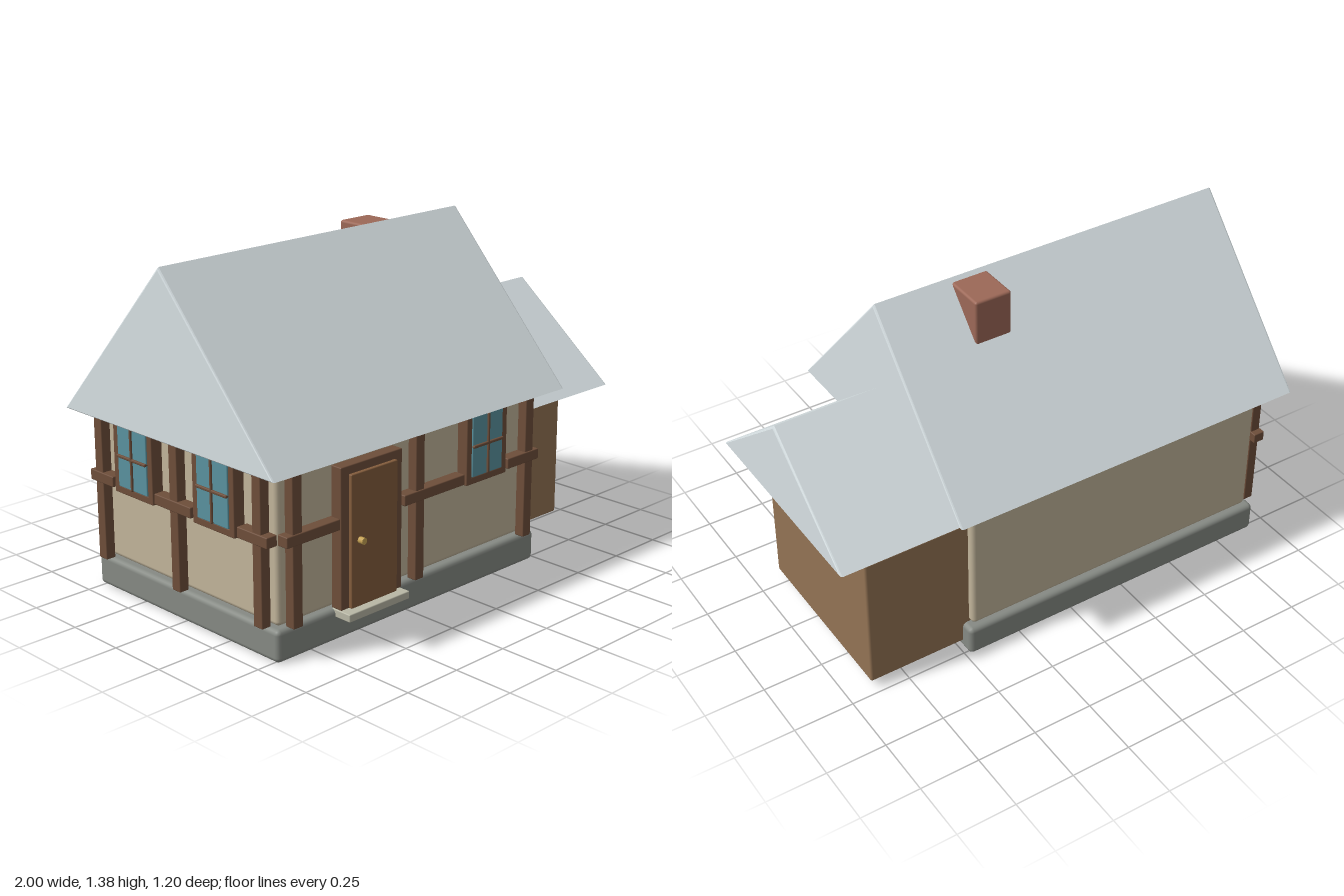
import * as THREE from 'three';
import { RoundedBoxGeometry } from 'three/addons/geometries/RoundedBoxGeometry.js';

const mat = (color) => new THREE.MeshStandardMaterial({ color });
const M = {
  stone: mat(0x868a84), plaster: mat(0xc2b59b), timber: mat(0x6e4e3a), door: mat(0x835c3c),
  annex: mat(0x937354), roof: mat(0xd8e1e4), brick: mat(0x9c6857), glass: mat(0x5a93a0),
  step: mat(0xb9b8a6), brass: mat(0xc4a052),
};

// Rounded box given by its min and max along each axis
function block(parent, name, material, [x0, x1], [y0, y1], [z0, z1], radius = 0.004) {
  const geo = new RoundedBoxGeometry(x1 - x0, y1 - y0, z1 - z0, 2, radius);
  const mesh = new THREE.Mesh(geo, material);
  mesh.name = name;
  mesh.position.set((x0 + x1) / 2, (y0 + y1) / 2, (z0 + z1) / 2);
  parent.add(mesh);
  return mesh;
}

// Solid gable prism with its ridge along x and slightly bevelled edges
function gableRoof(parent, name, [x0, x1], [y0, y1], halfDepth) {
  const b = 0.008;
  const shape = new THREE.Shape();
  shape.moveTo(-halfDepth, y0);
  shape.lineTo(halfDepth, y0);
  shape.lineTo(0, y1);
  shape.closePath();
  const geo = new THREE.ExtrudeGeometry(shape, {
    depth: x1 - x0 - 2 * b, bevelEnabled: true, bevelThickness: b,
    bevelSize: b, bevelOffset: -b, bevelSegments: 2,
  });
  geo.rotateY(Math.PI / 2);
  geo.translate(x0 + b, 0, 0);
  const mesh = new THREE.Mesh(geo, M.roof);
  mesh.name = name;
  parent.add(mesh);
}

// Four-pane window on a facade, centred on u
function windowUnit(parent, u) {
  const g = new THREE.Group();
  g.name = 'window';
  const [w, y0, y1, f] = [0.115, 0.44, 0.73, 0.029];
  const depth = [0.005, 0.056];
  for (const s of [-1, 1]) {
    const edges = [u + s * w, u + s * (w - f)].sort((a, b) => a - b);
    block(g, 'windowJamb', M.timber, edges, [y0, y1], depth);
  }
  block(g, 'windowSill', M.timber, [u - w, u + w], [y0, y0 + f], depth);
  block(g, 'windowHead', M.timber, [u - w, u + w], [y1 - 0.014, y1], depth);
  block(g, 'glass', M.glass, [u - w + f, u + w - f], [y0 + f, y1 - 0.01], [0.01, 0.06]);
  block(g, 'verticalBar', M.timber, [u - 0.005, u + 0.005], [y0 + f, y1 - 0.014], [0.03, 0.068]);
  block(g, 'horizontalBar', M.timber, [u - w + f, u + w - f], [0.588, 0.6], [0.03, 0.068]);
  parent.add(g);
}

// Posts and rail pieces on a facade, z being the distance from the wall
function timberFrame(parent, posts, rails) {
  for (const u of posts) {
    block(parent, 'post', M.timber, [u - 0.023, u + 0.023], [0.13, 0.735], [0.01, 0.053]);
  }
  for (const r of rails) block(parent, 'rail', M.timber, r, [0.45, 0.493], [0.008, 0.058]);
}

export function createModel() {
  const house = new THREE.Group();
  house.name = 'cottage';

  // Main body
  block(house, 'foundation', M.stone, [-0.925, 0.485], [0, 0.128], [-0.525, 0.525], 0.02);
  block(house, 'walls', M.plaster, [-0.9, 0.457], [0.13, 0.727], [-0.5, 0.5], 0.018);
  gableRoof(house, 'mainRoof', [-1, 0.56], [0.73, 1.385], 0.595);
  block(house, 'chimney', M.brick, [0.072, 0.23], [1.05, 1.37], [-0.18, 0.0], 0.01);

  // Side annex
  block(house, 'annex', M.annex, [0.4, 0.9], [0.035, 0.627], [-0.47, 0.302], 0.01);
  gableRoof(house, 'annexRoof', [0.4, 1], [0.625, 1.01], 0.473);

  // Front facade
  const front = new THREE.Group();
  front.name = 'frontFacade';
  front.position.z = 0.5;
  timberFrame(front, [-0.85, -0.222, 0.407], [[-0.905, -0.645], [-0.31, 0.022], [0.275, 0.46]]);
  windowUnit(front, 0.149);
  block(front, 'doorJamb', M.timber, [-0.64, -0.597], [0.13, 0.685], [0.005, 0.056]);
  block(front, 'doorJamb', M.timber, [-0.365, -0.325], [0.13, 0.685], [0.005, 0.056]);
  block(front, 'doorHead', M.timber, [-0.64, -0.325], [0.648, 0.685], [0.005, 0.056]);
  block(front, 'door', M.door, [-0.6, -0.362], [0.13, 0.652], [0.01, 0.07]);
  block(front, 'doorstep', M.step, [-0.64, -0.325], [0.097, 0.128], [0, 0.1]);
  const knob = new THREE.Mesh(new THREE.CylinderGeometry(0.013, 0.013, 0.025, 16), M.brass);
  knob.name = 'doorKnob';
  knob.rotation.x = Math.PI / 2;
  knob.position.set(-0.557, 0.392, 0.081);
  front.add(knob);
  house.add(front);

  // Left-hand gable facade
  const side = new THREE.Group();
  side.name = 'sideFacade';
  side.position.x = -0.9;
  side.rotation.y = -Math.PI / 2;
  timberFrame(side, [-0.46, -0.01, 0.45], [[-0.51, -0.37], [-0.118, 0.092], [0.35, 0.51]]);
  for (const u of [-0.243, 0.22]) windowUnit(side, u);
  house.add(side);

  return house;
}
